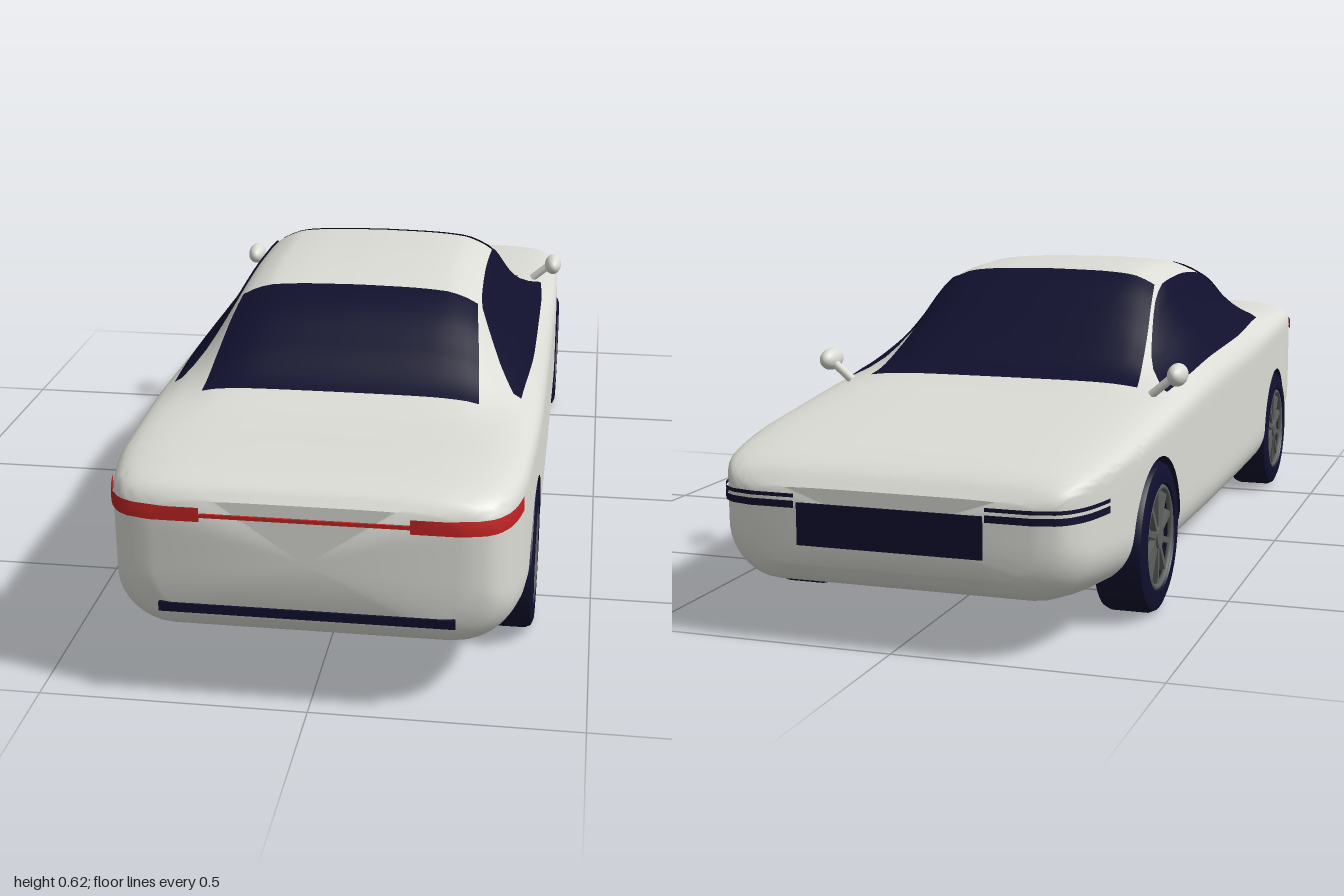
import * as THREE from 'three';
import { toCreasedNormals } from 'three/addons/utils/BufferGeometryUtils.js';

const mat = (name, color, side = THREE.FrontSide) => {
  const m = new THREE.MeshStandardMaterial({ color, side });
  m.name = name;
  return m;
};
const paint = mat('pearl white', 0xdcdcd6);
const dark = mat('midnight navy', 0x10102e, THREE.DoubleSide);
const red = mat('lamp red', 0xc02424, THREE.DoubleSide);
const metal = mat('rim grey', 0x5c605d);

// Smooth monotone curve through [position, value] pairs
function smooth(p) {
  const d = p.slice(1).map((q, i) => (q[1] - p[i][1]) / (q[0] - p[i][0]));
  const m = p.map((_, i) => {
    const a = d[i - 1] ?? d[i], b = d[i] ?? d[i - 1];
    return a * b <= 0 ? 0 : (2 * a * b) / (a + b);
  });
  return (v) => {
    if (v <= p[0][0]) return p[0][1];
    let i = p.findIndex((q) => q[0] >= v) - 1;
    if (i < 0) return p[p.length - 1][1];
    const h = p[i + 1][0] - p[i][0], t = (v - p[i][0]) / h, t2 = t * t, t3 = t2 * t;
    return (2 * t3 - 3 * t2 + 1) * p[i][1] + (t3 - 2 * t2 + t) * h * m[i]
      + (3 * t2 - 2 * t3) * p[i + 1][1] + (t3 - t2) * h * m[i + 1];
  };
}

// Body lines along z (nose at -1, tail at +1)
const width = smooth([[-1, 0.26], [-0.99, 0.3], [-0.97, 0.325], [-0.93, 0.346], [-0.85, 0.364], [-0.7, 0.38],
  [-0.3, 0.39], [0.4, 0.39], [0.8, 0.379], [0.9, 0.366], [0.94, 0.355], [0.97, 0.338], [0.99, 0.312], [1, 0.27]]);
const floor = smooth([[-1, 0.15], [-0.97, 0.115], [-0.93, 0.1], [-0.75, 0.085], [-0.45, 0.07], [0, 0.065],
  [0.45, 0.07], [0.75, 0.095], [0.9, 0.12], [0.97, 0.15], [1, 0.185]]);
const deck = smooth([[-1, 0.29], [-0.97, 0.318], [-0.93, 0.334], [-0.8, 0.356], [-0.6, 0.38], [-0.4, 0.4],
  [-0.1, 0.416], [0.3, 0.43], [0.6, 0.443], [0.8, 0.446], [0.93, 0.441], [0.98, 0.428], [1, 0.408]]);
const cabin = smooth([[-0.48, 0], [-0.4, 0.012], [-0.3, 0.066], [-0.2, 0.125], [-0.1, 0.178], [-0.04, 0.195],
  [0.1, 0.194], [0.25, 0.182], [0.33, 0.165], [0.4, 0.14], [0.5, 0.085], [0.6, 0.027], [0.68, 0.005], [0.76, 0]]);
const cabinShape = smooth([[0, 1], [0.1, 0.99], [0.18, 0.96], [0.22, 0.89], [0.25, 0.79], [0.27, 0.63],
  [0.3, 0.4], [0.33, 0.22], [0.355, 0.08], [0.385, 0]]);
const round = smooth([[-1, 0.035], [-0.4, 0.08], [1, 0.08]]);
const shoulder = (z) => deck(z) - round(z);
const lowRadius = (z) => Math.min(0.1, (shoulder(z) - floor(z)) * 0.6);

// Height of the upper surface at (x, z)
const upper = (x, z) => {
  const s = Math.min(1, Math.abs(x) / width(z));
  return shoulder(z) + round(z) * (1 - s ** 5) ** 0.2 + cabin(z) * cabinShape(Math.abs(x));
};
// Half width of the flank at (y, z)
const flank = (y, z) => {
  const w = width(z), r = lowRadius(z), c = floor(z) + r, s = shoulder(z);
  if (y < c) return w - r + Math.sqrt(Math.max(0, r * r - (c - y) ** 2));
  return y <= s ? w : w * Math.max(0, 1 - ((y - s) / round(z)) ** 5) ** 0.2;
};

const AXLE_Z = 0.6, AXLE_Y = 0.145, ARCH = 0.155;
const EDGE = [1, 0.9998, 0.998, 0.99, 0.975, 0.95];
for (let s = 0.925; s > 0.01; s -= 0.025) EDGE.push(s);
EDGE.push(0);

// Closed cross-section, with the wheel housing cut out when arch is true
function section(z, arch) {
  const yb = floor(z), xi = Math.min(0.26, width(z) - lowRadius(z));
  const dz = Math.abs(z) - AXLE_Z;
  const ya = arch ? AXLE_Y + Math.sqrt(Math.max(0, ARCH * ARCH - dz * dz)) : yb;
  const half = [[0, yb], [xi, yb], [xi, ya], [flank(ya, z), ya]];
  for (let k = 1; k < 14; k++) {
    const y = ya + (shoulder(z) - ya) * (k / 14) ** 1.6;
    half.push([flank(y, z), y]);
  }
  EDGE.forEach((s) => half.push([s * width(z), upper(s * width(z), z)]));
  const loop = half.concat(half.slice(0, -1).reverse().map(([x, y]) => [-x, y]));
  return loop.map(([x, y]) => new THREE.Vector3(x, y, z));
}

function stations() {
  const list = [];
  const run = (a, b, n) => { for (let i = 0; i <= n; i++) list.push([a + ((b - a) * i) / n, false]); };
  const arch = (c) => { for (let i = 0; i <= 24; i++) list.push([c - ARCH * Math.cos((Math.PI * i) / 24), true]); };
  list.push([-1, false], [-0.997, false], [-0.99, false], [-0.98, false]);
  run(-0.97, -AXLE_Z - ARCH, 12);
  arch(-AXLE_Z);
  run(-AXLE_Z + ARCH, AXLE_Z - ARCH, 50);
  arch(AXLE_Z);
  run(AXLE_Z + ARCH, 0.97, 12);
  list.push([0.98, false], [0.99, false], [0.997, false], [1, false]);
  return list;
}

function soup(points) {
  return new THREE.BufferGeometry().setFromPoints(points);
}
function addTri(out, a, b, c) {
  const area = b.clone().sub(a).cross(c.clone().sub(a)).length();
  if (area > 1e-10) out.push(a, b, c);
}
// Surface through rows of points
function gridGeometry(rows) {
  const out = [];
  for (let i = 0; i + 1 < rows.length; i++) for (let j = 0; j + 1 < rows[i].length; j++) {
    addTri(out, rows[i][j], rows[i + 1][j], rows[i + 1][j + 1]);
    addTri(out, rows[i][j], rows[i + 1][j + 1], rows[i][j + 1]);
  }
  return toCreasedNormals(soup(out), 0.7);
}

function createModel() {
  const car = new THREE.Group();
  const add = (name, geometry, material, parent = car) => {
    const mesh = new THREE.Mesh(geometry, material);
    mesh.name = name;
    parent.add(mesh);
    return mesh;
  };

  // Body shell and wheel housings
  const st = stations(), rings = st.map(([z, a]) => section(z, a));
  const shell = [], wells = [], n = rings[0].length;
  for (let i = 0; i + 1 < rings.length; i++) for (let j = 0; j + 1 < n; j++) {
    const col = Math.min(j, n - 2 - j);
    const out = (st[i][1] || st[i + 1][1]) && (col === 1 || col === 2) ? wells : shell;
    const [a, b, c, d] = [rings[i][j], rings[i][j + 1], rings[i + 1][j + 1], rings[i + 1][j]];
    addTri(out, a, b, c);
    addTri(out, a, c, d);
  }
  [[rings[0], 1], [rings[rings.length - 1], -1]].forEach(([r, s]) => {
    const c = new THREE.Vector3(0, (r[0].y + deck(r[0].z)) / 2, r[0].z);
    for (let j = 0; j + 1 < n; j++) s > 0 ? addTri(shell, c, r[j + 1], r[j]) : addTri(shell, c, r[j], r[j + 1]);
  });
  add('bodyShell', toCreasedNormals(soup(shell), 0.7), paint);
  add('wheelHousings', toCreasedNormals(soup(wells), 0.7), dark);

  // Glass laid just above the upper surface
  const glass = (name, z0, z1, xa, xb) => {
    const rows = [], e = 0.002;
    for (let i = 0; i <= 24; i++) {
      const t = i / 24, z = z0 + (z1 - z0) * t, row = [];
      for (let j = 0; j <= 24; j++) {
        const x = xa(z) + ((xb(z) - xa(z)) * j) / 24;
        const nrm = new THREE.Vector3((upper(x - e, z) - upper(x + e, z)) / (2 * e), 1,
          (upper(x, z - e) - upper(x, z + e)) / (2 * e)).normalize();
        row.push(new THREE.Vector3(x, upper(x, z), z).addScaledVector(nrm, 0.004));
      }
      rows.push(row);
    }
    add(name, gridGeometry(rows), dark);
  };
  const frontEdge = (z) => 0.235 + (0.055 * (-0.08 - z)) / 0.34;
  const rearEdge = (z) => 0.242 + (0.028 * (z - 0.33)) / 0.28;
  const sideTop = smooth([[-0.4, 0.342], [-0.29, 0.284], [-0.08, 0.246], [0.1, 0.243], [0.31, 0.248], [0.4, 0.278], [0.525, 0.33]]);
  const sideLow = smooth([[-0.4, 0.347], [-0.2, 0.355], [0.2, 0.357], [0.525, 0.345]]);
  glass('windscreen', -0.42, -0.08, (z) => -frontEdge(z), frontEdge);
  glass('rearWindow', 0.33, 0.61, (z) => -rearEdge(z), rearEdge);
  glass('leftSideWindow', -0.4, 0.525, sideTop, sideLow);
  glass('rightSideWindow', -0.4, 0.525, (z) => -sideLow(z), (z) => -sideTop(z));

  // Lamp bands wrapping from the flank round the corner to inner x
  const zs = [...new Set(st.map((s) => s[0]))];
  const wrap = (name, end, zStart, inner, y0, y1, material) => {
    const path = zs.filter((z) => z * end > zStart).sort((a, b) => (a - b) * end);
    path.unshift(zStart * end);
    for (const s of [1, -1]) {
      const rows = [0, 1, 2, 3].map((k) => {
        const y = y0 + ((y1 - y0) * k) / 3;
        const row = path.map((z) => new THREE.Vector3(s * (flank(y, z) + 0.004), y,
          z + end * 0.004 * (Math.abs(z) - zStart) / (1 - zStart)));
        row.push(new THREE.Vector3(s * inner, y, end * 1.004));
        return row;
      });
      add(name, gridGeometry(rows), material);
    }
  };
  wrap('tailLamp', 1, 0.88, 0.185, 0.369, 0.396, red);
  wrap('headLamp', -1, 0.87, 0.18, 0.252, 0.265, dark);
  wrap('headLampUpperLine', -1, 0.87, 0.18, 0.271, 0.278, dark);

  // Flat trim on the two ends
  const plate = (name, w, y0, y1, z, material) =>
    add(name, new THREE.BoxGeometry(w, y1 - y0, 0.008), material).position.set(0, (y0 + y1) / 2, z);
  plate('tailLampStrip', 0.37, 0.377, 0.384, 1, red);
  plate('rearBumperSlot', 0.53, 0.19, 0.207, 1, dark);
  plate('grille', 0.35, 0.185, 0.262, -1, dark);

  // Wheels, modelled with the outer face towards +y
  const tyreShape = [[0.098, 0.04], [0.104, 0.05], [0.128, 0.05], [0.14, 0.045], [0.145, 0.034], [0.145, -0.034],
    [0.14, -0.045], [0.128, -0.05], [0, -0.05]].reverse().map(([r, y]) => new THREE.Vector2(r, y));
  const tyre = toCreasedNormals(new THREE.LatheGeometry(tyreShape, 48), 0.5);
  const spoke = new THREE.BoxGeometry(0.078, 0.012, 0.011).translate(0.056, 0, 0);
  for (const sx of [1, -1]) for (const sz of [1, -1]) {
    const wheel = new THREE.Group();
    wheel.name = (sz > 0 ? 'rear' : 'front') + (sx > 0 ? 'Left' : 'Right') + 'Wheel';
    wheel.position.set(sx * 0.34, AXLE_Y, sz * AXLE_Z);
    wheel.rotation.z = (-sx * Math.PI) / 2;
    add('tyre', tyre, dark, wheel);
    add('rimBack', new THREE.CylinderGeometry(0.1, 0.1, 0.06, 40), dark, wheel);
    const ring = add('rimRing', new THREE.TorusGeometry(0.096, 0.006, 8, 40), metal, wheel);
    ring.rotation.x = Math.PI / 2;
    ring.position.y = 0.043;
    add('hub', new THREE.CylinderGeometry(0.022, 0.024, 0.02, 20), metal, wheel).position.y = 0.038;
    for (let k = 0; k < 10; k++) {
      const s = add('spoke', spoke, metal, wheel);
      s.position.y = 0.038;
      s.rotation.y = (k * Math.PI) / 5;
    }
    car.add(wheel);
  }

  // Door mirrors on short stalks
  for (const s of [1, -1]) {
    const pod = add('mirrorPod', new THREE.SphereGeometry(1, 24, 16), paint);
    pod.scale.set(0.02, 0.023, 0.04);
    pod.position.set(s * 0.376, 0.433, -0.43);
    const stalk = new THREE.LineCurve3(new THREE.Vector3(s * 0.325, 0.392, -0.44), new THREE.Vector3(s * 0.37, 0.43, -0.44));
    add('mirrorStalk', new THREE.TubeGeometry(stalk, 1, 0.009, 10), paint);
  }
  return car;
}

export { createModel };
